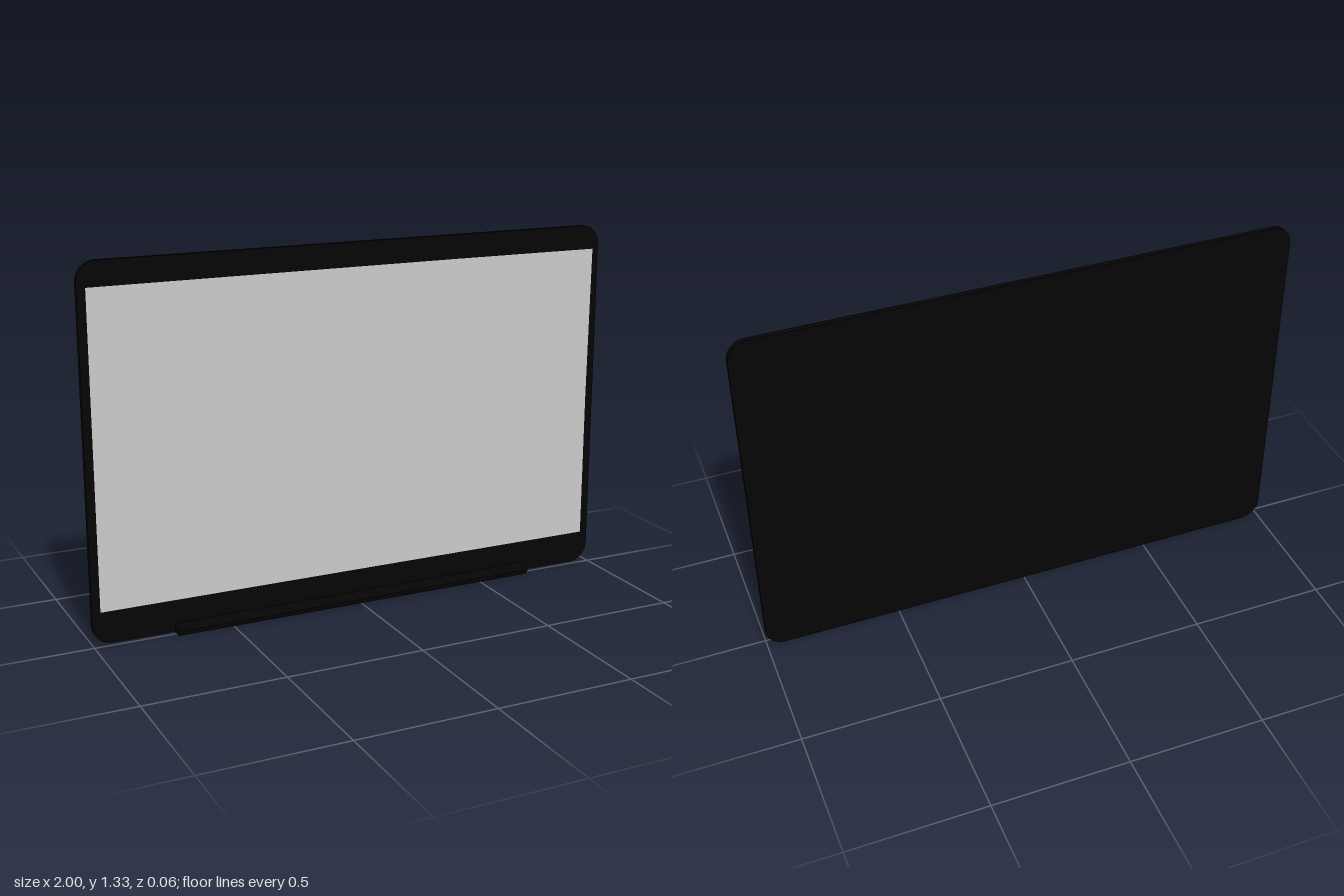
import * as THREE from 'three';

const BACK = -0.032, FRONT = -0.014, TOP = 1.325, RADIUS = 0.07;
const SX = 0.97, SY0 = 0.12, SY1 = 1.238; // screen limits

// the panel lifts slightly around its upper left corner
const lift = (x, y) => 0.009 * Math.max(0, 1 - Math.hypot(SX - x, SY1 - y) / 0.57);

function roundedRect(x0, y0, x1, y1, r) {
  const s = new THREE.Shape();
  s.absarc(x1 - r, y0 + r, r, -Math.PI / 2, 0);
  s.absarc(x1 - r, y1 - r, r, 0, Math.PI / 2);
  s.absarc(x0 + r, y1 - r, r, Math.PI / 2, Math.PI);
  s.absarc(x0 + r, y0 + r, r, Math.PI, Math.PI * 1.5);
  s.closePath();
  return s;
}

function add(group, name, geometry, material) {
  const mesh = new THREE.Mesh(geometry, material);
  mesh.name = name;
  group.add(mesh);
}

export function createModel() {
  const group = new THREE.Group();
  group.name = 'displayLid';
  const black = new THREE.MeshStandardMaterial({ color: 0x050505 });
  const blackThin = new THREE.MeshStandardMaterial({ color: 0x050505, side: THREE.DoubleSide });
  const grey = new THREE.MeshStandardMaterial({ color: 0xcccccc });

  // thin lid slab with rounded corners
  const lid = new THREE.ExtrudeGeometry(roundedRect(-1, 0.003, 1, TOP, RADIUS), {
    depth: FRONT - BACK, bevelEnabled: false, curveSegments: 10,
  });
  lid.translate(0, 0, BACK);
  add(group, 'lid', lid, black);

  // screen, following the lifted corner
  const screen = new THREE.PlaneGeometry(SX * 2, SY1 - SY0, 48, 28);
  screen.translate(0, (SY0 + SY1) / 2, FRONT + 0.001);
  const p = screen.attributes.position;
  for (let i = 0; i < p.count; i++) p.setZ(i, p.getZ(i) + lift(p.getX(i), p.getY(i)));
  screen.computeVertexNormals();
  add(group, 'screen', screen, grey);

  // bezel strip joining the lifted screen edge to the lid rim
  const pairs = [];
  const n = 12;
  for (let i = 0; i <= n; i++) {
    const x = THREE.MathUtils.lerp(0.4, SX, i / n);
    pairs.push([x, SY1, Math.min(x, 1 - RADIUS), TOP]);
  }
  for (let i = 1; i < 8; i++) {
    const a = (Math.PI / 2) * (1 - i / 8);
    pairs.push([SX, SY1, 1 - RADIUS + RADIUS * Math.cos(a), TOP - RADIUS + RADIUS * Math.sin(a)]);
  }
  for (let i = 0; i <= n; i++) {
    const y = THREE.MathUtils.lerp(SY1, 0.66, i / n);
    pairs.push([SX, y, 1, i === 0 ? TOP - RADIUS : y]);
  }
  const pos = [], index = [];
  pairs.forEach(([ix, iy, ox, oy], i) => {
    pos.push(ix, iy, FRONT + 0.001 + lift(ix, iy), ox, oy, FRONT + 0.0005);
    if (i) {
      const k = i * 2;
      index.push(k - 2, k, k - 1, k - 1, k, k + 1);
    }
  });
  const bezel = new THREE.BufferGeometry();
  bezel.setAttribute('position', new THREE.Float32BufferAttribute(pos, 3));
  bezel.setIndex(index);
  bezel.computeVertexNormals();
  add(group, 'bezelCorner', bezel, blackThin);

  // wedge-shaped hinge bar along the bottom edge, profile drawn as (z, y)
  const profile = new THREE.Shape([
    [-0.03, 0], [0.022, 0], [0.033, 0.02], [0.028, 0.024], [FRONT, 0.034], [-0.03, 0.034],
  ].map(([z, y]) => new THREE.Vector2(z, y)));
  const hinge = new THREE.ExtrudeGeometry(profile, { depth: 1.41, bevelEnabled: false });
  hinge.rotateY(-Math.PI / 2);
  hinge.translate(0.705, 0, 0);
  add(group, 'hingeBar', hinge, black);

  return group;
}
